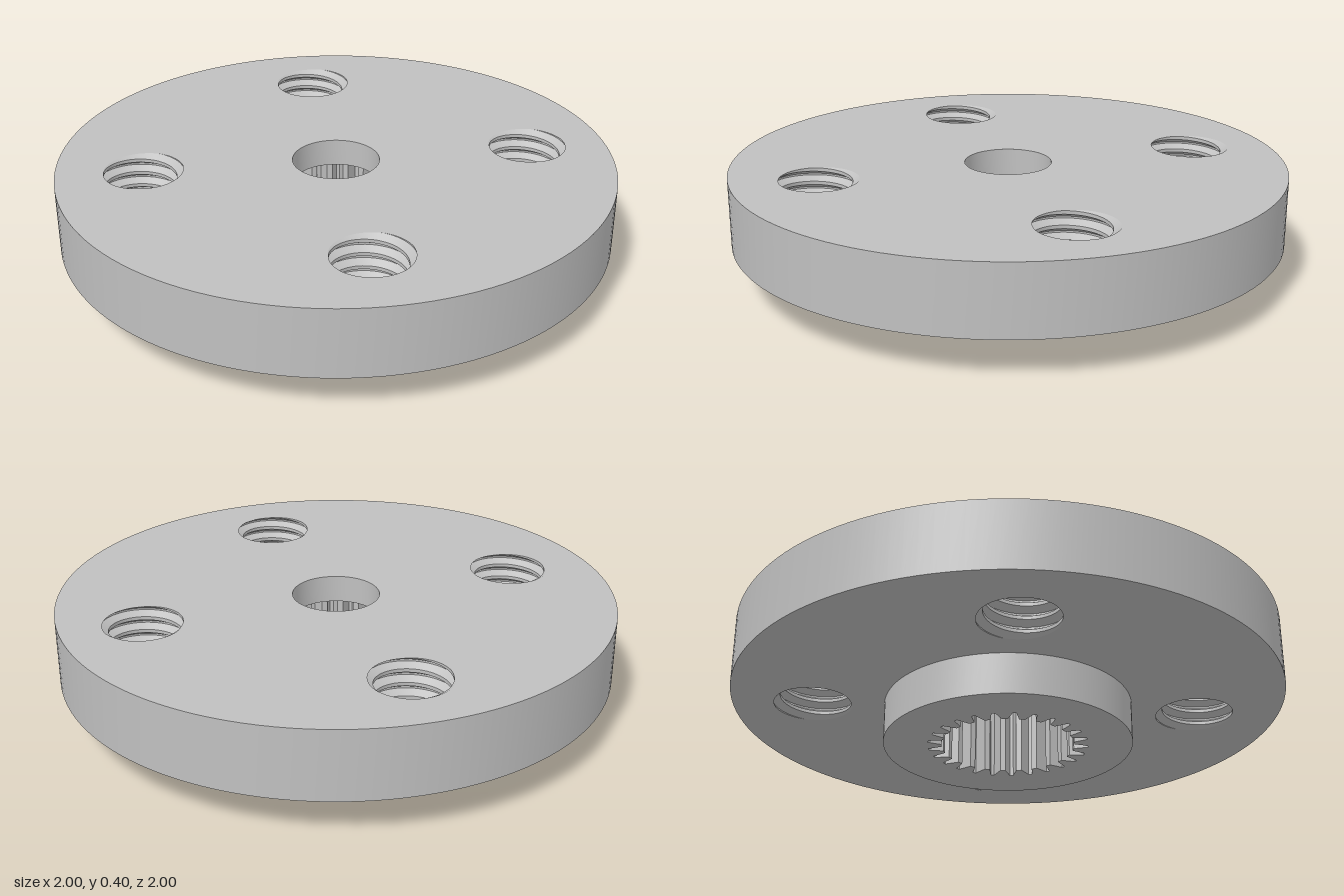
import * as THREE from 'three';
import { toCreasedNormals } from 'three/addons/utils/BufferGeometryUtils.js';

const TOP = 0.4, UNDER = 0.15, LEDGE = 0.3;   // heights of the main faces
const DISC_R = 1, HUB_R = 0.45, BORE_R = 0.157;
const HOLE_POS = 0.495, MINOR = 0.129, MAJOR = 0.156, PITCH = 0.05;
const TAU = Math.PI * 2;

// Plan outline, counter-clockwise seen from above (plan y is -z).
const polar = (r, a, cx = 0, cy = 0) => new THREE.Vector2(cx + r * Math.cos(a), cy + r * Math.sin(a));
const circle = (r, n = 96) => Array.from({ length: n }, (_, i) => polar(r, i / n * TAU));

// Socket outline with 25 narrow grooves.
function splineOutline() {
  const pts = [], teeth = 25;
  for (let i = 0; i < teeth; i++) {
    for (const [f, r] of [[0, 0.24], [0.34, 0.24], [0.58, 0.29], [0.76, 0.29]]) {
      pts.push(polar(r, (i + f) / teeth * TAU));
    }
  }
  return pts;
}

// Right-handed screw thread: radius at an angle and height.
const PHASE = TOP - PITCH * (0.5 + 85 / 360);
function threadRadius(a, y) {
  const u = (y - PHASE) / PITCH - a / TAU;
  const d = Math.abs(u - Math.floor(u) - 0.5);
  return MINOR + (MAJOR - MINOR) * THREE.MathUtils.clamp((0.375 - d) / 0.3125, 0, 1);
}
const STEPS = 64;
const threadOutline = (cx, cy, y) => Array.from({ length: STEPS }, (_, i) => {
  const a = i / STEPS * TAU;
  return polar(threadRadius(a, y), a, cx, cy);
});

// Surface through rings of points stacked from bottom to top.
function loft(rings, inward) {
  const pos = [], ab = new THREE.Vector3(), ac = new THREE.Vector3();
  const tri = (a, b, c) => {
    if (ab.subVectors(b, a).cross(ac.subVectors(c, a)).length() < 1e-9) return;
    for (const p of inward ? [a, c, b] : [a, b, c]) pos.push(p.x, p.y, p.z);
  };
  for (let j = 0; j + 1 < rings.length; j++) {
    for (let i = 0; i + 1 < rings[j].length; i++) {
      const [a, b, c, d] = [rings[j][i], rings[j][i + 1], rings[j + 1][i + 1], rings[j + 1][i]];
      tri(a, b, c);
      tri(a, c, d);
    }
  }
  const geo = new THREE.BufferGeometry();
  geo.setAttribute('position', new THREE.Float32BufferAttribute(pos, 3));
  return toCreasedNormals(geo, 0.4);
}

// Vertical wall along an outline.
function wall(outline, y0, y1, inward = false) {
  const ring = y => [...outline, outline[0]].map(p => new THREE.Vector3(p.x, y, -p.y));
  return loft([ring(y0), ring(y1)], inward);
}

// Flat horizontal face with holes.
function face(outline, holes, y, down = false) {
  const shape = new THREE.Shape(outline);
  shape.holes = holes.map(h => new THREE.Path(h));
  const geo = new THREE.ShapeGeometry(shape);
  geo.rotateX(down ? Math.PI / 2 : -Math.PI / 2);
  if (down) geo.scale(1, 1, -1);
  geo.translate(0, y, 0);
  if (down) {
    // restore the winding after mirroring
    const ix = geo.index;
    for (let i = 0; i < ix.count; i += 3) {
      const t = ix.getX(i);
      ix.setX(i, ix.getX(i + 2));
      ix.setX(i + 2, t);
    }
    geo.computeVertexNormals();
  }
  return geo;
}

// Helical rows follow the thread and are trimmed at the disc faces.
function threadWall(cx, cy) {
  const rings = [];
  for (let n = -2; n <= 7; n++) {
    for (const t of [0.125, 0.4375, 0.5625, 0.875]) {
      rings.push(Array.from({ length: STEPS + 1 }, (_, i) => {
        const a = i / STEPS * TAU;
        const y = THREE.MathUtils.clamp(PHASE + PITCH * (Math.floor((UNDER - PHASE) / PITCH) + n + t + a / TAU), UNDER, TOP);
        const p = polar(threadRadius(a, y), a, cx, cy);
        return new THREE.Vector3(p.x, y, -p.y);
      }));
    }
  }
  return loft(rings, true);
}

export function createModel() {
  const metal = new THREE.MeshStandardMaterial({ color: 0xc0c0c0 });
  metal.name = 'light grey metal';
  const model = new THREE.Group();
  model.name = 'splinedFlange';
  const add = (name, geo, parent) => {
    const mesh = new THREE.Mesh(geo, metal);
    mesh.name = name;
    parent.add(mesh);
  };
  const group = name => {
    const g = new THREE.Group();
    g.name = name;
    model.add(g);
    return g;
  };

  const centres = [];
  for (const x of [-1, 1]) for (const y of [-1, 1]) centres.push([x * HOLE_POS, y * HOLE_POS]);
  const holesAt = y => centres.map(([cx, cy]) => threadOutline(cx, cy, y));
  const rim = circle(DISC_R, 128), hubRim = circle(HUB_R), bore = circle(BORE_R, 64), spline = splineOutline();

  // Disc
  const disc = group('disc');
  add('discRim', wall(rim, UNDER, TOP), disc);
  add('discTop', face(rim, [bore, ...holesAt(TOP)], TOP), disc);
  add('discUnderside', face(rim, [hubRim, ...holesAt(UNDER)], UNDER, true), disc);

  // Hub below the disc
  const hub = group('hub');
  add('hubRim', wall(hubRim, 0, UNDER), hub);
  add('hubUnderside', face(hubRim, [spline], 0, true), hub);

  // Splined socket and the plain bore above it
  const socket = group('socket');
  add('splineWall', wall(spline, 0, LEDGE, true), socket);
  add('socketCeiling', face(spline, [bore], LEDGE, true), socket);
  add('boreWall', wall(bore, LEDGE, TOP, true), socket);

  // Threaded holes
  const threads = group('threadedHoles');
  for (const [cx, cy] of centres) add('thread', threadWall(cx, cy), threads);

  return model;
}
